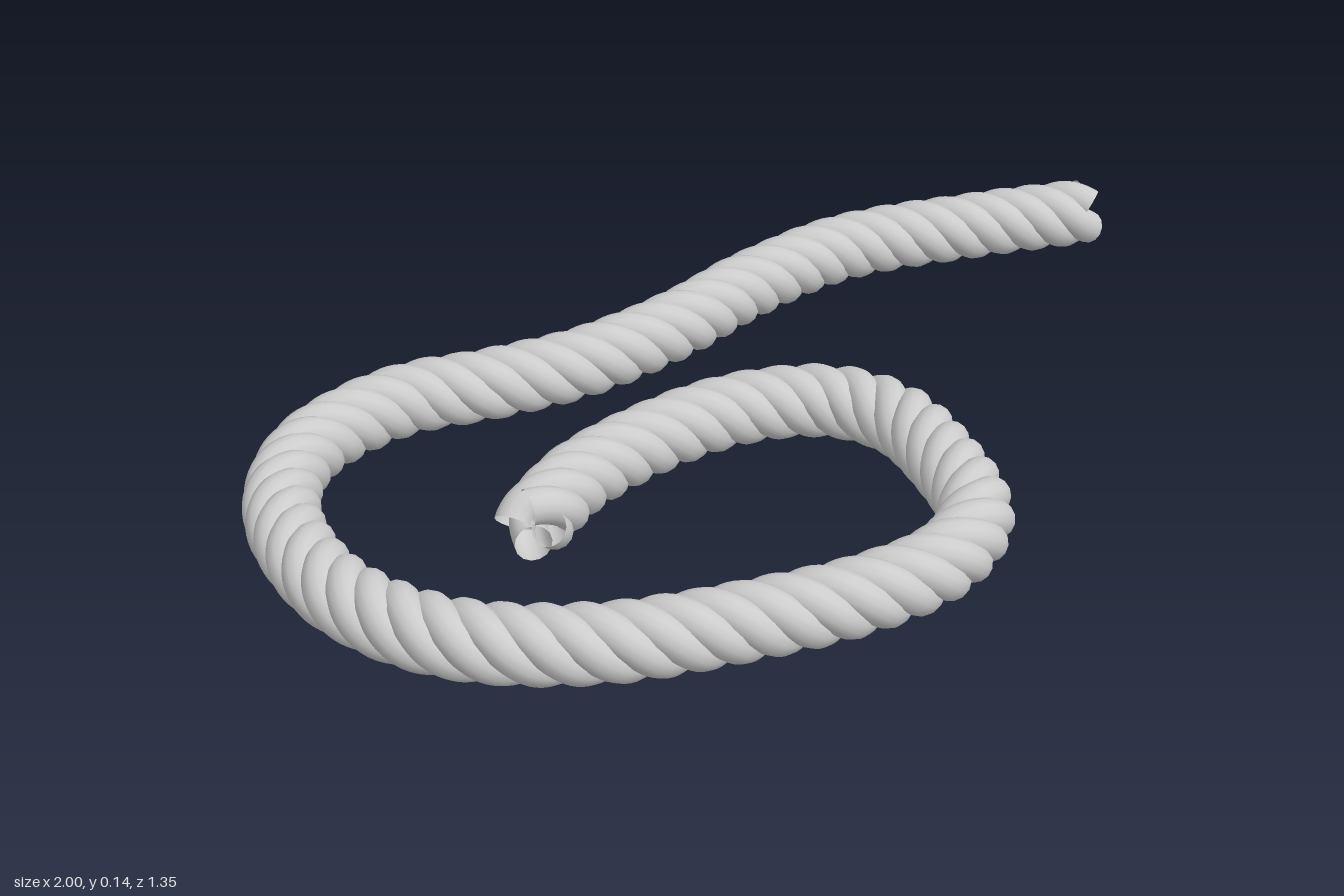
import * as THREE from 'three';

const STRANDS = 4;
const PITCH = 0.265;      // length of one full turn of the lay
const OFFSET = 0.036;     // strand centre to rope centre
const RADIUS = 0.034;     // strand radius
const HEIGHT = 0.071;     // rope centre above the ground

// Rope centreline on the ground, as x, z
const ROUTE = [
  [0.975, -0.56], [0.72, -0.595], [0.43, -0.61], [0.19, -0.535], [-0.02, -0.43],
  [-0.24, -0.36], [-0.42, -0.35], [-0.61, -0.355], [-0.80, -0.265], [-0.90, -0.12],
  [-0.93, 0.055], [-0.893, 0.27], [-0.77, 0.445], [-0.56, 0.555], [-0.29, 0.595],
  [-0.08, 0.597], [0.08, 0.555], [0.19, 0.45], [0.225, 0.24], [0.213, 0.08],
  [0.135, -0.025], [-0.02, -0.07], [-0.21, -0.04], [-0.40, 0.045], [-0.535, 0.165],
];

// One strand winding right-handed around the centreline
class StrandCurve extends THREE.Curve {
  constructor(path, phase) {
    super();
    this.path = path;
    this.phase = phase;
    this.length = path.getLength();
    this.arcLengthDivisions = 3000;
  }
  getPoint(t, target = new THREE.Vector3()) {
    const centre = this.path.getPointAt(t);
    const tangent = this.path.getTangentAt(t);
    const up = new THREE.Vector3(0, 1, 0);
    const side = new THREE.Vector3().crossVectors(tangent, up).normalize();
    const a = this.phase + (t * this.length / PITCH) * Math.PI * 2;
    return target.copy(centre)
      .addScaledVector(up, Math.cos(a) * OFFSET)
      .addScaledVector(side, Math.sin(a) * OFFSET);
  }
}

export function createModel() {
  const rope = new THREE.Group();
  rope.name = 'rope';
  const material = new THREE.MeshStandardMaterial({ color: 0xcccccc, side: THREE.DoubleSide });

  const path = new THREE.CatmullRomCurve3(
    ROUTE.map(([x, z]) => new THREE.Vector3(x, HEIGHT, z)), false, 'centripetal');
  path.arcLengthDivisions = 1500;

  // Twisted strands, left open where the rope is cut
  for (let i = 0; i < STRANDS; i++) {
    const curve = new StrandCurve(path, Math.PI / 4 + (i / STRANDS) * Math.PI * 2);
    const strand = new THREE.Mesh(new THREE.TubeGeometry(curve, 640, RADIUS, 14), material);
    strand.name = `strand${i + 1}`;
    rope.add(strand);
  }
  return rope;
}
